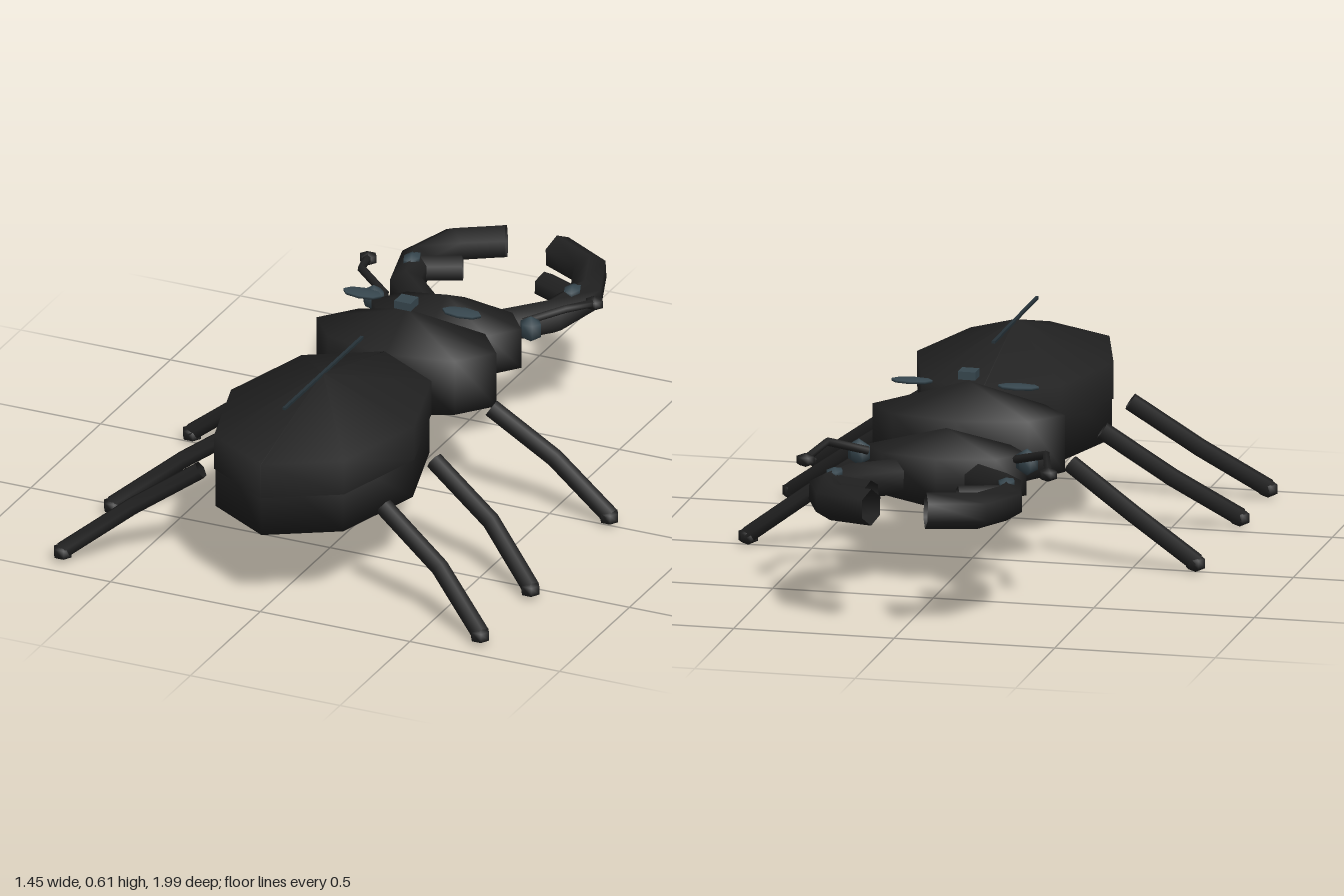
import * as THREE from 'three';

export function createModel() {
  const beetle = new THREE.Group();
  beetle.name = 'beetle';

  const black = new THREE.MeshStandardMaterial({ color: 0x212121, side: THREE.DoubleSide });
  black.name = 'black shell';
  const slate = new THREE.MeshStandardMaterial({ color: 0x37474f });
  slate.name = 'slate accents';
  const seamBlue = new THREE.MeshStandardMaterial({ color: 0x263238 });
  seamBlue.name = 'dark seam';

  function add(name, geometry, material, x = 0, y = 0, z = 0) {
    const mesh = new THREE.Mesh(geometry, material);
    mesh.name = name;
    mesh.position.set(x, y, z);
    beetle.add(mesh);
    return mesh;
  }

  // Coarse ellipsoid given by its visible half-extents: two rings and two poles
  const RING = Math.sin(Math.PI / 3);
  function blob(name, material, [x, y, z], [rx, ry, rz], sides = 8) {
    const g = new THREE.SphereGeometry(1, sides, 3);
    g.scale(rx / RING, ry, rz / RING);
    return add(name, g, material, x, y, z);
  }

  // Low-poly tube through a few points
  function tube(name, points, radius, segments) {
    const curve = new THREE.CatmullRomCurve3(points.map(p => new THREE.Vector3(...p)));
    return add(name, new THREE.TubeGeometry(curve, segments, radius, 6), black);
  }

  // Body segments
  blob('abdomen', black, [0, 0.37, 0.553], [0.301, 0.235, 0.438]);
  blob('thorax', black, [0, 0.388, -0.047], [0.3, 0.178, 0.153]);
  blob('head', black, [0, 0.36, -0.333], [0.25, 0.13, 0.132]);

  // Two wing cases covering the upper half of the abdomen
  const profile = [[1, 0.378], [1, 0.49], [0, 0.608]].map(p => new THREE.Vector2(...p));
  for (const side of [1, -1]) {
    const g = new THREE.LatheGeometry(profile, 4, side > 0 ? 0 : Math.PI, Math.PI);
    g.scale(0.305, 1, 0.443);
    add(side > 0 ? 'leftWingCase' : 'rightWingCase', g, black, side * 0.001, 0, 0.553);
  }
  add('wingSeam', new THREE.BoxGeometry(0.01, 0.008, 0.56), seamBlue, 0, 0.606, 0.55);

  // Small plate above the thorax
  add('thoraxPlate', new THREE.BoxGeometry(0.055, 0.025, 0.055), slate, 0, 0.587, -0.045);

  // Hip, knee and foot depth for the three leg pairs
  const legs = { front: [0, -0.025, -0.005], middle: [0.41, 0.45, 0.56], rear: [0.77, 0.815, 0.92] };

  for (const s of [1, -1]) {
    const side = s > 0 ? 'left' : 'right';

    for (const [pair, [hip, knee, foot]] of Object.entries(legs)) {
      tube(`${side} ${pair} leg`,
        [[s * 0.305, 0.315, hip], [s * 0.515, 0.17, knee], [s * 0.7, 0.03, foot]], 0.028, 2);
      blob(`${side} ${pair} foot`, black, [s * 0.697, 0.028, foot], [0.03, 0.028, 0.03], 6);
    }

    // Curved mandible with an inner tooth and a highlight
    tube(`${side} mandible`, [
      [s * 0.13, 0.36, -0.455], [s * 0.262, 0.368, -0.595], [s * 0.278, 0.375, -0.765],
      [s * 0.205, 0.383, -0.9], [s * 0.085, 0.39, -0.945]], 0.056, 4);
    tube(`${side} mandible tooth`,
      [[s * 0.255, 0.375, -0.69], [s * 0.135, 0.378, -0.74]], 0.042, 1);
    blob(`${side} mandible highlight`, slate, [s * 0.268, 0.415, -0.66], [0.025, 0.018, 0.04], 6);

    // Eye, antenna and its club
    blob(`${side} eye`, slate, [s * 0.262, 0.41, -0.375], [0.034, 0.042, 0.03], 6);
    tube(`${side} antenna`, [
      [s * 0.23, 0.42, -0.39], [s * 0.345, 0.458, -0.46], [s * 0.378, 0.432, -0.58]], 0.013, 2);
    blob(`${side} antenna club`, black, [s * 0.378, 0.43, -0.583], [0.028, 0.022, 0.026], 6);

    // Flat spot floating over the thorax
    blob(`${side} thorax spot`, slate, [s * 0.166, 0.567, -0.088], [0.064, 0.008, 0.031]);
  }

  return beetle;
}
